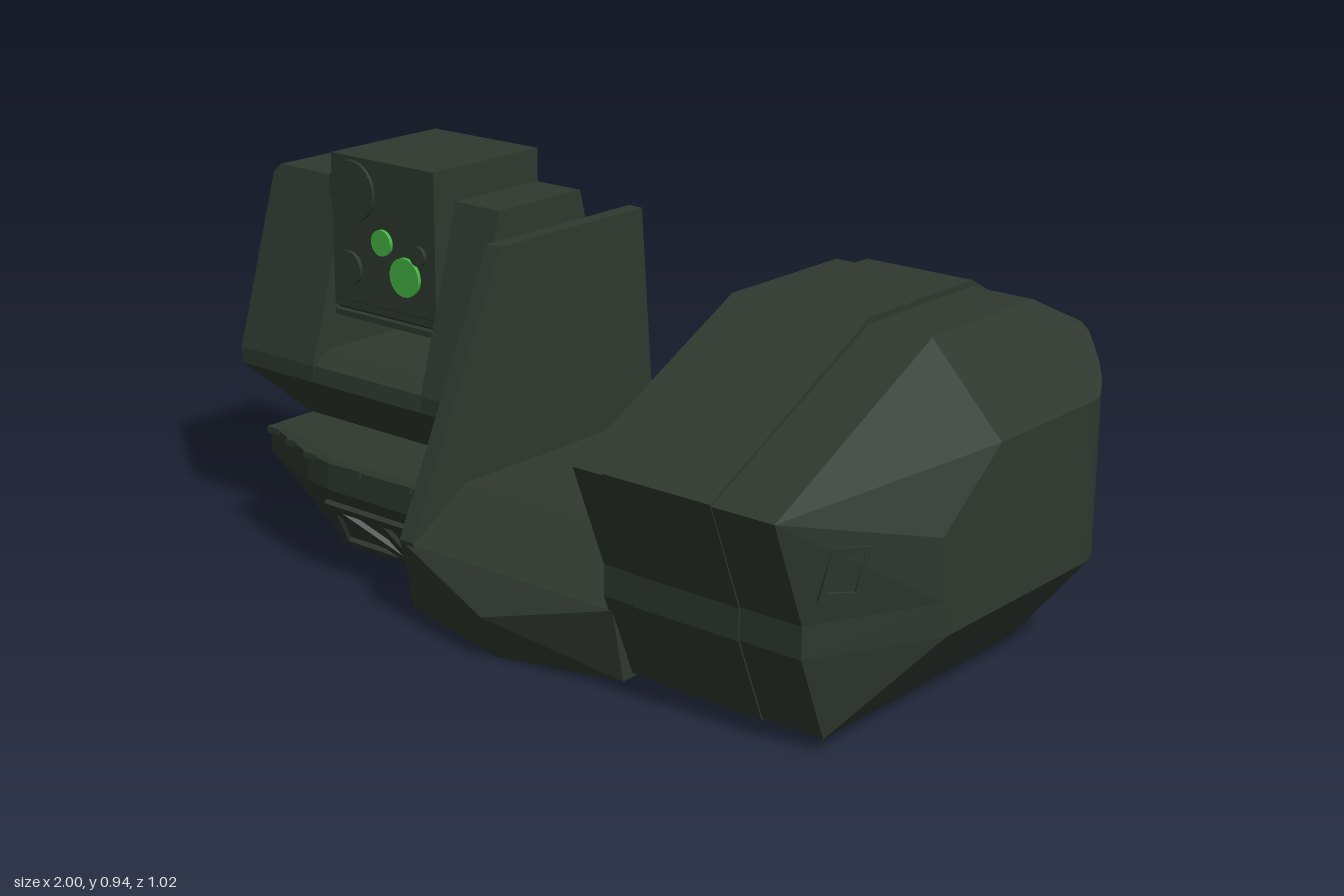
import * as THREE from 'three';
import { ConvexGeometry } from 'three/addons/geometries/ConvexGeometry.js';

export function createModel() {
  const model = new THREE.Group();
  const hullPaint = new THREE.MeshStandardMaterial({ color: 0x2f382f });
  hullPaint.name = 'dark green paint';
  const lensGreen = new THREE.MeshStandardMaterial({ color: 0x45b545 });
  lensGreen.name = 'bright green lens';

  const add = (name, geometry, material = hullPaint) => {
    const mesh = new THREE.Mesh(geometry, material);
    mesh.name = name;
    model.add(mesh);
    return mesh;
  };
  // faceted solid around [x, y, z] points
  const hull = (name, points) =>
    add(name, new ConvexGeometry(points.map((p) => new THREE.Vector3(...p))));
  const toShape = (pts) => new THREE.Shape(pts.map((p) => new THREE.Vector2(...p)));
  // [z, y] profile swept from x0 to x1
  const sweep = (name, profile, x0, x1) => {
    const geo = new THREE.ExtrudeGeometry(toShape(profile.map(([z, y]) => [-z, y])),
      { depth: x1 - x0, bevelEnabled: false });
    return add(name, geo.rotateY(Math.PI / 2).translate(x0, 0, 0));
  };
  // pierced plate lying on a surface with the given normal
  const plate = (name, outline, holes, depth, pos, normal) => {
    const shape = toShape(outline);
    holes.forEach((h) => shape.holes.push(toShape(h)));
    const mesh = add(name, new THREE.ExtrudeGeometry(shape, { depth, bevelEnabled: false }));
    mesh.position.set(...pos);
    mesh.lookAt(mesh.position.clone().add(new THREE.Vector3(...normal)));
    return mesh;
  };

  // large housing
  const profile = [[0.505, 0.535], [0, 0.785], [-0.37, 0.785], [-0.505, 0.715], [-0.505, 0.22],
    [-0.36, 0.035], [0.33, 0.035], [0.41, 0.23], [0.41, 0.3]];
  sweep('housing', profile, 0.36, 0.86);
  sweep('housingBand',
    profile.map(([z, y]) => [z * 1.008, 0.4 + (y - 0.4) * (y > 0.5 ? 1.035 : 1.008)]), 0.44, 0.71);

  // tapered housing end with a rounded rear corner
  const rear = [];
  for (let i = 0; i <= 8; i++) {
    const a = (i / 8) * Math.PI / 2;
    const x = 0.9 + 0.1 * Math.sin(a);
    const z = -0.405 - 0.1 * Math.cos(a);
    rear.push([x, Math.min(0.715, 0.785 - (x - 0.86) * 1.43), z], [x, 0.225, z]);
  }
  const rim = profile.map(([z, y]) => [0.86, y, z]);
  hull('housingEndLower', [...rim.slice(1), ...rear,
    [1, 0.585, -0.05], [1, 0.3, 0.13], [1, 0.225, 0.12]]);
  hull('housingEndUpper', [rim[0], rim[1], rim[2], rim[8], ...rear.filter((p) => p[1] > 0.5),
    [1, 0.585, -0.05], [1, 0.44, 0.145], [1, 0.3, 0.13], [0.86, 0.3, -0.4]]);
  plate('portFrame', [[-0.055, -0.05], [0.035, -0.06], [0.055, 0.05], [-0.035, 0.06]],
    [[[-0.038, -0.036], [0.026, -0.044], [0.038, 0.036], [-0.026, 0.044]]],
    0.008, [0.908, 0.405, 0.345], [1, -0.13, 0.447]);

  // low central hull with pointed nose
  hull('centralHull', [
    ...[-0.24, 0.37].flatMap((x) => [
      [x, 0.295, -0.42], [x, 0.295, 0.23], [x, 0.035, -0.36], [x, 0.025, 0.36], [x, 0.195, 0.395]]),
    [0.05, 0.11, 0.45], [0.05, 0.005, 0.405]]);

  // upright dividing panel
  sweep('dividerPanel', [[0.4, 0.2], [0.11, 0.81], [-0.375, 0.81], [-0.42, 0.3], [-0.37, 0.06], [0.36, 0.04]],
    -0.24, -0.2);

  // side pod carrying the turret
  hull('sidePod', [
    ...[0.22, 0.285].flatMap((y) => [
      [-0.85, y, -0.37], [-0.24, y, -0.37], [-0.24, y, 0.32], [-0.55, y, 0.32],
      [-0.63, y, 0.305], [-0.85, y, 0.22]]),
    [-0.83, 0.295, -0.37], [-0.24, 0.295, -0.37], [-0.24, 0.295, 0.31], [-0.83, 0.295, 0.21],
    [-0.55, 0.295, 0.31], [-0.65, 0.035, -0.345], [-0.24, 0.03, -0.345],
    [-0.65, 0.035, 0.18], [-0.24, 0.03, 0.18]]);

  // ribbed frames on the pod's sloping front and its back
  plate('podFrontFrame', [[-0.65, 0], [-0.24, 0], [-0.24, 0.21], [-0.56, 0.21]],
    [[[-0.39, 0.03], [-0.26, 0.03], [-0.26, 0.18], [-0.39, 0.18]],
      [[-0.61, 0.025], [-0.44, 0.025], [-0.55, 0.165]],
      [[-0.415, 0.045], [-0.415, 0.18], [-0.52, 0.18]]],
    0.012, [0, 0.035, 0.18], [0, -0.65, 0.76]);
  plate('podBackFrame', [[0.24, 0], [0.65, 0], [0.84, 0.185], [0.84, 0.25], [0.24, 0.25]],
    [[[0.27, 0.03], [0.37, 0.03], [0.37, 0.19], [0.27, 0.19]],
      [[0.4, 0.06], [0.52, 0.19], [0.4, 0.19]],
      [[0.43, 0.03], [0.63, 0.03], [0.56, 0.16]],
      [[0.66, 0.055], [0.78, 0.19], [0.59, 0.19]]],
    0.012, [0, 0.035, -0.345], [0, -0.135, -1]);
  [[-0.82, 0.23], [-0.72, 0.265], [-0.62, 0.3], [-0.46, 0.315], [-0.3, 0.315]].forEach(([x, z]) => {
    add('podStud', new THREE.BoxGeometry(0.04, 0.016, 0.02)).position.set(x, 0.282, z);
  });

  // turret cradle: base and two tapering arms
  hull('cradleBase', [
    ...[-1, -0.26].flatMap((x) => [[x, 0.4, -0.34], [x, 0.4, 0.17], [x, 0.44, -0.335], [x, 0.44, 0.165]]),
    ...[-0.75, -0.395].flatMap((x) => [[x, 0.47, -0.32], [x, 0.47, 0.12]]),
    ...[-0.83, -0.41].flatMap((x) => [[x, 0.29, -0.27], [x, 0.29, 0.1]])]);
  [['cradleArmOuter', -1, -0.75], ['cradleArmInner', -0.395, -0.26]].forEach(([name, x0, x1]) => {
    const trim = name === 'cradleArmOuter' ? 0.02 : 0;
    hull(name, [
      ...[x0 + trim, x1].flatMap((x) => [[x, 0.87, -0.22], [x, 0.87, 0.04]]),
      ...[x0, x1].flatMap((x) => [
        [x, 0.87 - trim, -0.225], [x, 0.87 - trim, 0.045],
        [x, 0.44, -0.34], [x, 0.44, 0.17], [x, 0.4, -0.34], [x, 0.4, 0.17]])]);
  });

  // sensor box hung between the arms
  sweep('sensorBox', [[0.105, 0.6], [0.105, 0.945], [-0.24, 0.945], [-0.24, 0.555], [0.08, 0.555]],
    -0.735, -0.405);
  [0.565, 0.59].forEach((y) => {
    add('sensorSill', new THREE.BoxGeometry(0.33, 0.014, 0.03)).position.set(-0.57, y, 0.09);
  });
  add('pivot', new THREE.CylinderGeometry(0.05, 0.05, 0.38, 16).rotateZ(Math.PI / 2))
    .position.set(-0.57, 0.74, -0.08);

  // lenses on the sensor box
  [['largeLens', -0.665, 0.865, 0.072, hullPaint], ['lowerLens', -0.68, 0.68, 0.04, hullPaint],
    ['smallLens', -0.455, 0.745, 0.023, hullPaint], ['upperGreenLens', -0.57, 0.757, 0.031, lensGreen],
    ['lowerGreenLens', -0.497, 0.688, 0.046, lensGreen]].forEach(([name, x, y, r, mat]) => {
    add(name, new THREE.CylinderGeometry(r, r, 0.02, 24).rotateX(Math.PI / 2), mat)
      .position.set(x, y, 0.104);
  });
  return model;
}
